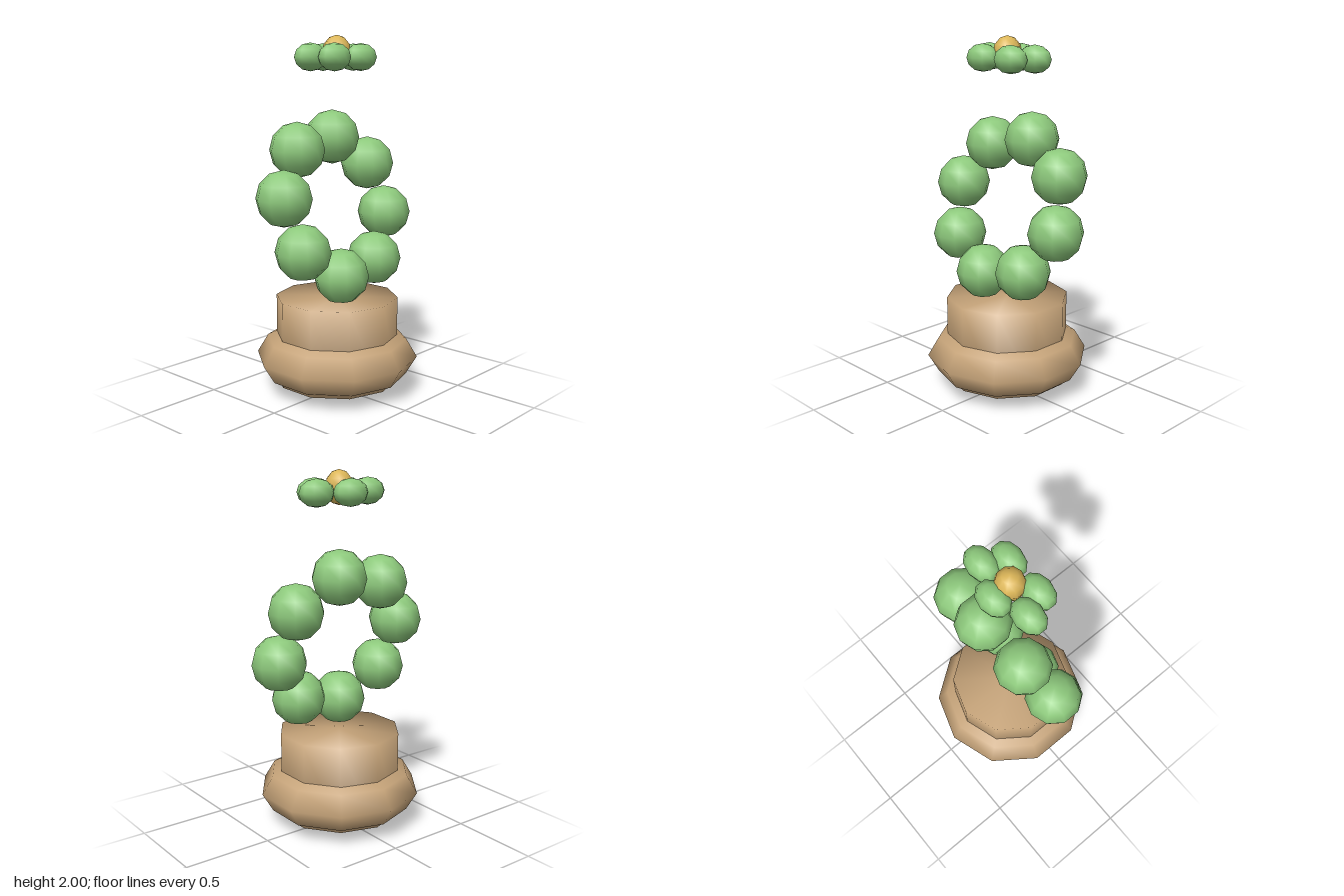
import * as THREE from 'three';

export function createModel() {
  const model = new THREE.Group();
  const mat = (name, color) => {
    const m = new THREE.MeshStandardMaterial({ color });
    m.name = name;
    return m;
  };
  const clay = mat('clay', 0xc4a278);
  const green = mat('green', 0x8dc97c);
  const gold = mat('gold', 0xdcb658);

  // ten-sided ball with a corner facing the front
  const ballGeo = new THREE.SphereGeometry(1, 10, 6).rotateY(Math.PI / 2);
  const ball = (name, material, pos, size, parent) => {
    const mesh = new THREE.Mesh(ballGeo, material);
    mesh.name = name;
    mesh.position.set(...pos);
    mesh.scale.set(...size);
    parent.add(mesh);
  };
  const group = (name) => {
    const g = new THREE.Group();
    g.name = name;
    model.add(g);
    return g;
  };

  // pot: straight closed neck through a squashed round base
  const pot = group('pot');
  const profile = [[0, 0.065], [0.345, 0.065], [0.345, 0.55], [0, 0.55]];
  const neck = new THREE.Mesh(
    new THREE.LatheGeometry(profile.map(([r, y]) => new THREE.Vector2(r, y)), 10), clay);
  neck.name = 'potNeck';
  pot.add(neck);
  ball('potBase', clay, [0, 0.206, 0], [0.459, 0.206, 0.459], pot);

  // ring of eight balls leaning backwards
  const ring = group('leafRing');
  const tilt = 0.285, radius = 0.395;
  for (let i = 0; i < 8; i++) {
    const a = THREE.MathUtils.degToRad(78) - i * Math.PI / 4;
    const h = radius * Math.sin(a);
    ball('leafBall', green,
      [radius * Math.cos(a), 1.07 + h * Math.cos(tilt), -h * Math.sin(tilt)],
      [0.153, 0.153, 0.153], ring);
  }

  // floating flower: five petals on an oval around a golden centre
  const flower = group('flower');
  for (let i = 0; i < 5; i++) {
    const a = Math.PI / 2 + i * Math.PI * 2 / 5;
    ball('petal', green, [0.18 * Math.cos(a), 1.882, -0.1 * Math.sin(a)],
      [0.105, 0.075, 0.077], flower);
  }
  ball('flowerCentre', gold, [0, 1.905, 0], [0.08, 0.095, 0.08], flower);

  return model;
}
